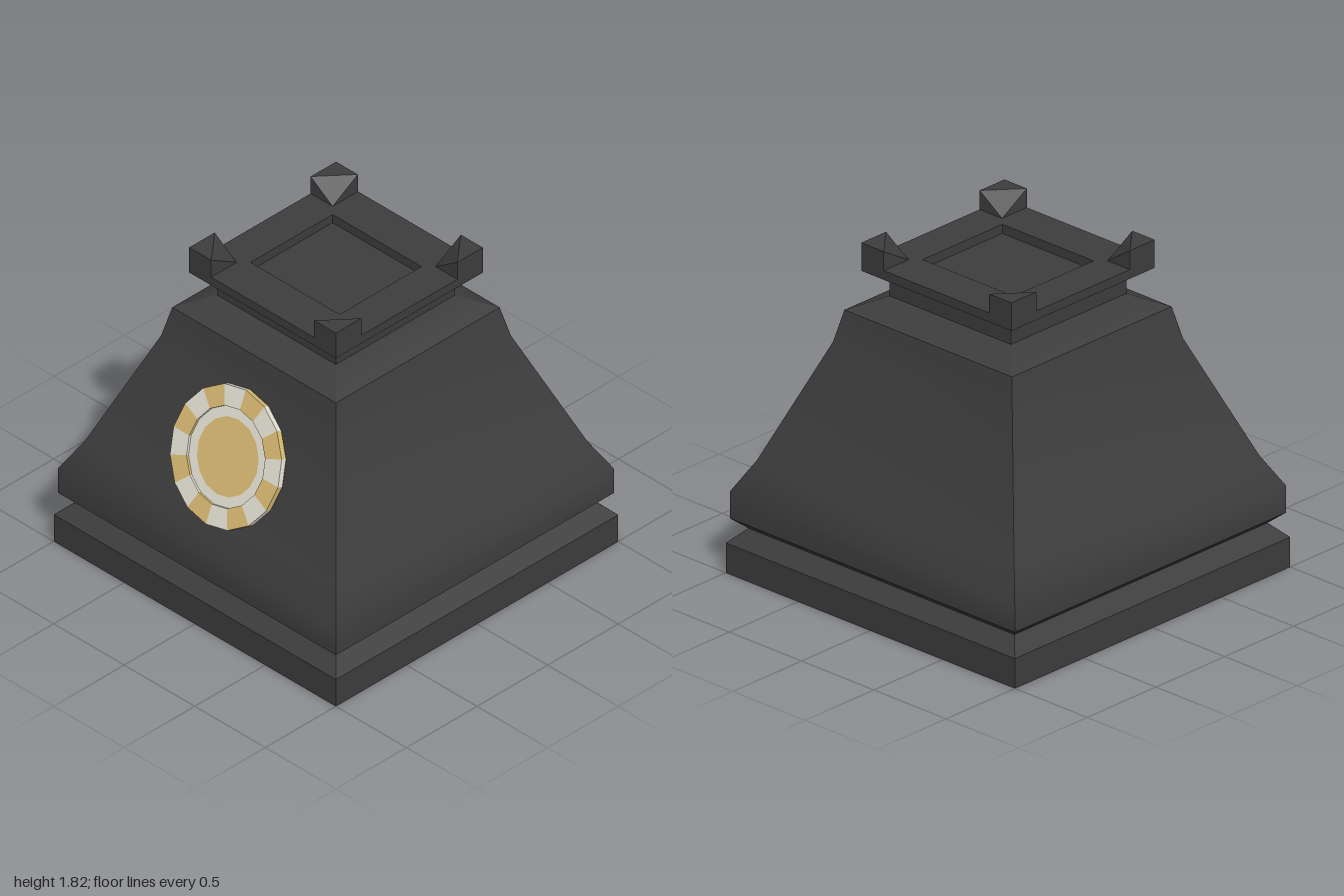
import * as THREE from 'three';
import { toCreasedNormals } from 'three/addons/utils/BufferGeometryUtils.js';

const dark = new THREE.MeshStandardMaterial({ color: 0x3d3d3d });
const gold = new THREE.MeshStandardMaterial({ color: 0xd8ba72 });
const cream = new THREE.MeshStandardMaterial({ color: 0xe2dfd2 });

function mesh(name, geometry, material = dark) {
  const m = new THREE.Mesh(geometry, material);
  m.name = name;
  return m;
}

// Square tier swept from [half width, height] pairs, bottom to top
function squareTier(name, profile) {
  const points = profile.map(([w, y]) => new THREE.Vector2(w * Math.SQRT2, y));
  const g = new THREE.LatheGeometry(points, 4).rotateY(Math.PI / 4);
  return mesh(name, toCreasedNormals(g, 0.55));
}

// Corner post whose inner corner slopes down to the ledge; built for +x +z
function cornerPost(sx, sz) {
  const o = 0.52, x = 0.365, z = 0.34, y0 = 1.71, y1 = 1.815;
  const p = [
    [o, y0, o], [o, y0, z], [x, y0, z], [x, y0, o],
    [o, y1, o], [o, y1, z], [x, y1, o],
  ].map(([a, b, c]) => [a * sx, b, c * sz]);
  const faces = [
    [0, 1, 5], [0, 5, 4], [3, 0, 4], [3, 4, 6],
    [1, 2, 5], [2, 3, 6], [4, 5, 6], [5, 2, 6], [0, 2, 1], [0, 3, 2],
  ];
  const position = [];
  for (const f of faces) {
    const order = sx * sz > 0 ? f : [f[0], f[2], f[1]];
    for (const i of order) position.push(...p[i]);
  }
  const g = new THREE.BufferGeometry();
  g.setAttribute('position', new THREE.Float32BufferAttribute(position, 3));
  g.computeVertexNormals();
  return mesh('cornerPost', g);
}

// Ledge plate with a rectangular recess
function topLedge() {
  const rect = (P, w, d) => {
    const s = new P();
    s.moveTo(-w, -d); s.lineTo(w, -d); s.lineTo(w, d); s.lineTo(-w, d); s.closePath();
    return s;
  };
  const shape = rect(THREE.Shape, 0.52, 0.52);
  shape.holes.push(rect(THREE.Path, 0.315, 0.29));
  const g = new THREE.ExtrudeGeometry(shape, { depth: 0.05, bevelEnabled: false });
  g.rotateX(-Math.PI / 2).translate(0, 1.66, 0);
  return mesh('topLedge', g);
}

// Round badge with alternating rim blocks and a sunken face
function medallion() {
  const group = new THREE.Group();
  group.name = 'medallion';
  const sides = 16, outer = 0.37, inner = 0.26, disc = 0.205, depth = 0.035;
  const at = (r, i) => {
    const a = Math.PI / 2 - (i * 2 * Math.PI) / sides;
    return new THREE.Vector2(Math.cos(a) * r, Math.sin(a) * r);
  };
  for (let i = 0; i < sides; i++) {
    const s = new THREE.Shape([at(inner, i), at(outer, i), at(outer, i + 1), at(inner, i + 1)]);
    const g = new THREE.ExtrudeGeometry(s, { depth, bevelEnabled: false });
    group.add(mesh('rimBlock', g, i % 2 ? cream : gold));
  }
  const ring = mesh('innerRing', new THREE.RingGeometry(disc, inner, sides), cream);
  const centre = mesh('centreDisc', new THREE.CircleGeometry(disc, sides), gold);
  ring.position.z = centre.position.z = 0.02;
  group.add(ring, centre);
  group.position.set(0.015, 0.92, 0.763);
  group.rotation.x = -Math.atan2(0.27, 0.65);
  return group;
}

export function createModel() {
  const model = new THREE.Group();
  model.name = 'pedestal';

  model.add(
    squareTier('plinth', [[0, 0], [1, 0], [1, 0.165], [0.92, 0.245], [0, 0.245]]),
    squareTier('body', [
      [0, 0.245], [0.92, 0.245], [0.985, 0.3], [0.985, 0.45], [0.89, 0.62],
      [0.62, 1.27], [0.58, 1.445], [0.42, 1.52], [0, 1.52],
    ]),
    squareTier('neck', [[0, 1.52], [0.42, 1.52], [0.42, 1.6], [0.52, 1.66], [0, 1.66]]),
    topLedge(),
    medallion(),
  );

  for (const sx of [-1, 1]) for (const sz of [-1, 1]) model.add(cornerPost(sx, sz));

  return model;
}
